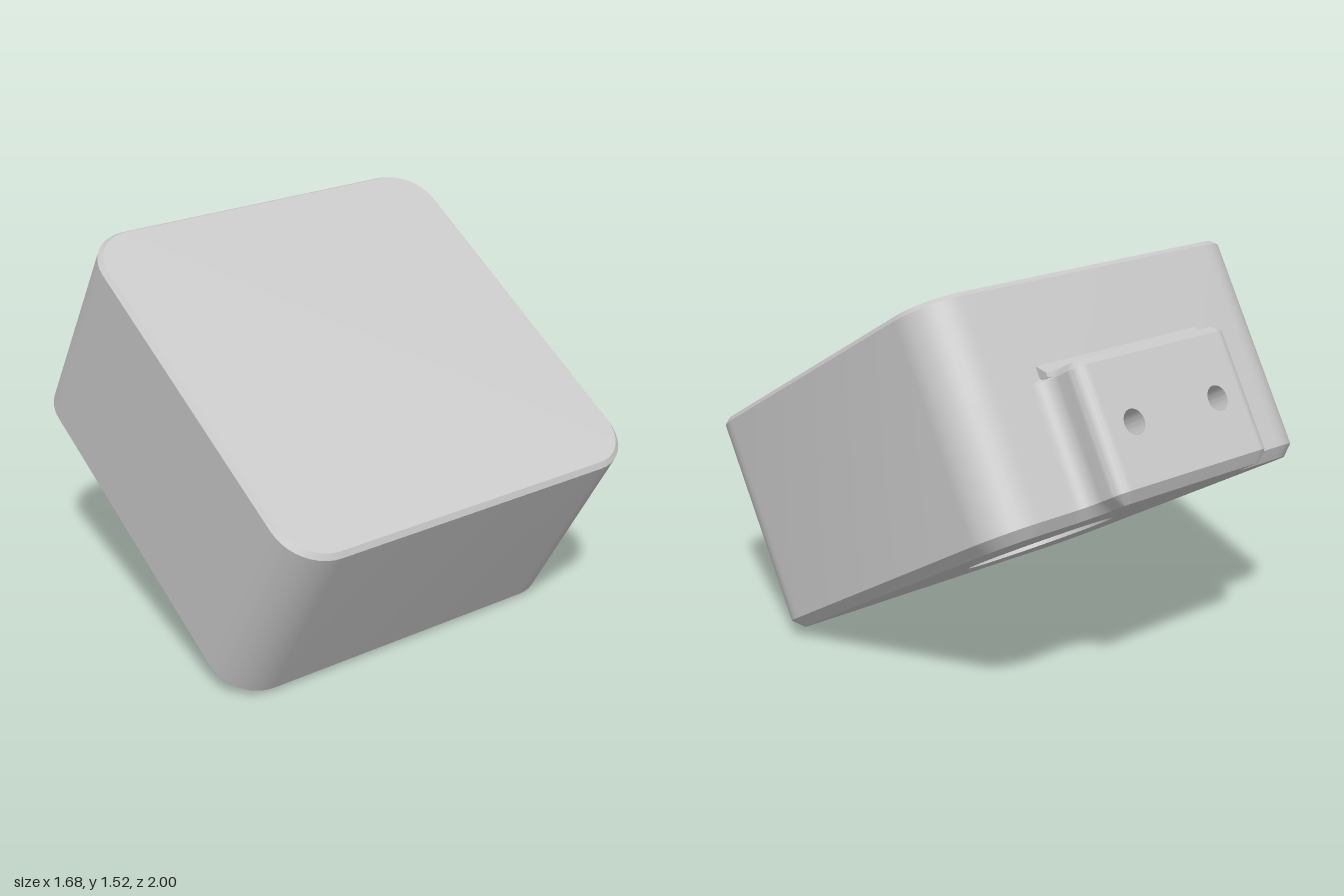
import * as THREE from 'three';
import { mergeGeometries, toCreasedNormals } from 'three/addons/utils/BufferGeometryUtils.js';

// Local frame of the untilted housing
const HALF = 0.78, FRONT = 0.46, BACK = -1.116, BASE = 0.245, TOP = 1.12;
const R = 0.18, WALL = 0.09, FLOOR = 0.07, EDGE = 0.04, LID_EDGE = 0.018;
const TAB = { half: 0.38, z: -1.29, r: 0.055, fillet: 0.07, top: 0.768, edge: 0.025 };
const N = 10;
const MID_Z = (FRONT + BACK) / 2;

// Quarter arc from angle a (degrees), counter-clockwise seen from above unless dir is -1
function arc(cx, cz, r, a, dir = 1) {
  return Array.from({ length: N + 1 }, (_, i) => {
    const t = THREE.MathUtils.degToRad(a + dir * 90 * i / N);
    return [cx + r * Math.cos(t), cz - r * Math.sin(t)];
  });
}

// Outlines, each inset by o
const cornersRight = o => [
  ...arc(HALF - R, FRONT - R, R - o, -90), ...arc(HALF - R, BACK + R, R - o, 0)];
const cornersLeft = o => [
  ...arc(-HALF + R, BACK + R, R - o, 90), ...arc(-HALF + R, FRONT - R, R - o, 180)];
const tabOutline = o => {
  const { half, z, r, fillet: f } = TAB;
  return [
    ...arc(half + f, BACK - f, f + o, -90, -1),
    ...arc(half - r, z + r, r - o, 0), ...arc(-half + r, z + r, r - o, 90),
    ...arc(-half - f, BACK - f, f + o, 0, -1)];
};
const boxOutline = o => [...cornersRight(o), ...cornersLeft(o)];
const fullOutline = o => [...cornersRight(o), ...tabOutline(o), ...cornersLeft(o)];
const circle = (r, cx, cz) => Array.from({ length: 48 }, (_, i) => {
  const t = i / 48 * Math.PI * 2;
  return [cx + r * Math.cos(t), cz - r * Math.sin(t)];
});

// Skin between [outline, y] rings; rising rings face outward, falling rings inward
function loft(rings, skip = -1) {
  const pos = [];
  for (let k = 0; k + 1 < rings.length; k++) {
    const [p, y0] = rings[k], [q, y1] = rings[k + 1];
    for (let i = 0; i < p.length; i++) {
      if (i === skip) continue;
      const j = (i + 1) % p.length;
      const a = [p[i][0], y0, p[i][1]], b = [p[j][0], y0, p[j][1]];
      const c = [q[j][0], y1, q[j][1]], d = [q[i][0], y1, q[i][1]];
      pos.push(...a, ...b, ...c, ...a, ...c, ...d);
    }
  }
  const g = new THREE.BufferGeometry();
  g.setAttribute('position', new THREE.Float32BufferAttribute(pos, 3));
  return g;
}

function plain(g) {
  const out = g.index ? g.toNonIndexed() : g;
  out.deleteAttribute('uv');
  out.deleteAttribute('normal');
  return out;
}

// Flat face at height y, facing up or down, with an optional hole
function cap(outline, y, up, hole) {
  const s = up ? -1 : 1;
  const vec = pts => pts.map(([x, z]) => new THREE.Vector2(x, s * z));
  const shape = new THREE.Shape(vec(outline));
  if (hole) shape.holes.push(new THREE.Path(vec(hole)));
  return plain(new THREE.ShapeGeometry(shape).rotateX(s * Math.PI / 2).translate(0, y, 0));
}

export function createModel() {
  const grey = new THREE.MeshStandardMaterial({ color: 0xc8c8c8 });
  grey.name = 'light grey';
  const model = new THREE.Group();
  model.name = 'mountedHousing';
  const tilted = new THREE.Group();
  tilted.name = 'tiltedHousing';
  tilted.rotation.set(Math.PI / 6, THREE.MathUtils.degToRad(5), 0, 'YXZ');
  model.add(tilted);

  const add = (name, parts) => {
    const mesh = new THREE.Mesh(toCreasedNormals(mergeGeometries(parts), 0.5), grey);
    mesh.name = name;
    tilted.add(mesh);
  };

  const shoulder = TAB.top - TAB.edge;
  const opening = circle(0.3, 0, MID_Z);
  const tabFace = 4 * (N + 1) - 1; // flat outer side of the tab, built separately with its holes

  // Outer shell
  add('housingShell', [
    cap(fullOutline(EDGE), BASE, false, opening),
    loft([[fullOutline(EDGE), BASE], [fullOutline(0), BASE + EDGE]]),
    loft([[fullOutline(0), BASE + EDGE], [fullOutline(0), shoulder]], tabFace),
    loft([[boxOutline(0), shoulder], [boxOutline(0), TOP - LID_EDGE], [boxOutline(LID_EDGE), TOP]]),
    cap(boxOutline(LID_EDGE), TOP, true),
  ]);

  // Hollow inside and the round opening in the floor
  add('cavity', [
    cap(boxOutline(WALL), TOP - FLOOR, false),
    loft([[boxOutline(WALL), TOP - FLOOR], [boxOutline(WALL), BASE + FLOOR]]),
    cap(boxOutline(WALL), BASE + FLOOR, true, opening),
    loft([[opening, BASE + FLOOR], [opening, BASE]]),
  ]);

  // Chamfered top of the mounting tab
  add('tabTop', [
    loft([[tabOutline(0), shoulder], [tabOutline(TAB.edge), TAB.top]]),
    cap(tabOutline(TAB.edge), TAB.top, true),
  ]);

  // Sloped strip where the tab top meets the wall
  const strip = new THREE.Shape([[1.1, 0.75], [1.158, 0.75], [1.158, TAB.top], [1.116, 0.805], [1.1, 0.805]]
    .map(p => new THREE.Vector2(...p)));
  const len = 2 * TAB.half + 0.04;
  add('tabRootStrip', [plain(new THREE.ExtrudeGeometry(strip, { depth: len, bevelEnabled: false })
    .rotateY(Math.PI / 2).translate(-len / 2, 0, 0))]);

  // Outer tab face with two blind screw holes
  const w = TAB.half - TAB.r, holeX = 0.21, holeY = 0.508, holeR = 0.048, holeDepth = 0.2;
  const face = new THREE.Shape([[-w, BASE + EDGE], [w, BASE + EDGE], [w, shoulder], [-w, shoulder]]
    .map(p => new THREE.Vector2(...p)));
  const bores = [];
  for (const x of [-holeX, holeX]) {
    const ring = circle(holeR, x, -holeY);
    face.holes.push(new THREE.Path(ring.map(([a, b]) => new THREE.Vector2(a, -b))));
    // Bore is made along y, then turned to run into the tab
    const bore = mergeGeometries([
      loft([[ring, 0], [ring, -holeDepth]]), cap(ring, -holeDepth, true)]);
    bores.push(bore.rotateX(-Math.PI / 2).scale(1, -1, 1).translate(0, 0, TAB.z));
  }
  // Mirroring flips the winding, so swap two corners of every triangle
  for (const g of bores) {
    const p = g.attributes.position, a = new THREE.Vector3(), b = new THREE.Vector3();
    for (let i = 0; i < p.count; i += 3) {
      a.fromBufferAttribute(p, i + 1);
      b.fromBufferAttribute(p, i + 2);
      p.setXYZ(i + 1, b.x, b.y, b.z);
      p.setXYZ(i + 2, a.x, a.y, a.z);
    }
    // Keep the bore at the height of the holes
    g.computeBoundingBox();
    g.translate(0, holeY - (g.boundingBox.min.y + g.boundingBox.max.y) / 2, 0);
  }
  add('tabFace', [plain(new THREE.ShapeGeometry(face).rotateY(Math.PI).translate(0, 0, TAB.z)), ...bores]);

  // Small snap ridges on the inner side walls
  for (const side of [-1, 1]) {
    const ridge = new THREE.Mesh(new THREE.BoxGeometry(0.04, 0.04, 0.3), grey);
    ridge.name = side < 0 ? 'rightSnapRidge' : 'leftSnapRidge';
    ridge.position.set(side * (HALF - WALL), TOP - FLOOR - 0.1, MID_Z);
    tilted.add(ridge);
  }

  // Stand on the ground, centred
  model.updateMatrixWorld(true);
  const box = new THREE.Box3().setFromObject(model, true);
  const c = box.getCenter(new THREE.Vector3());
  tilted.position.set(-c.x, -box.min.y, -c.z);
  return model;
}
